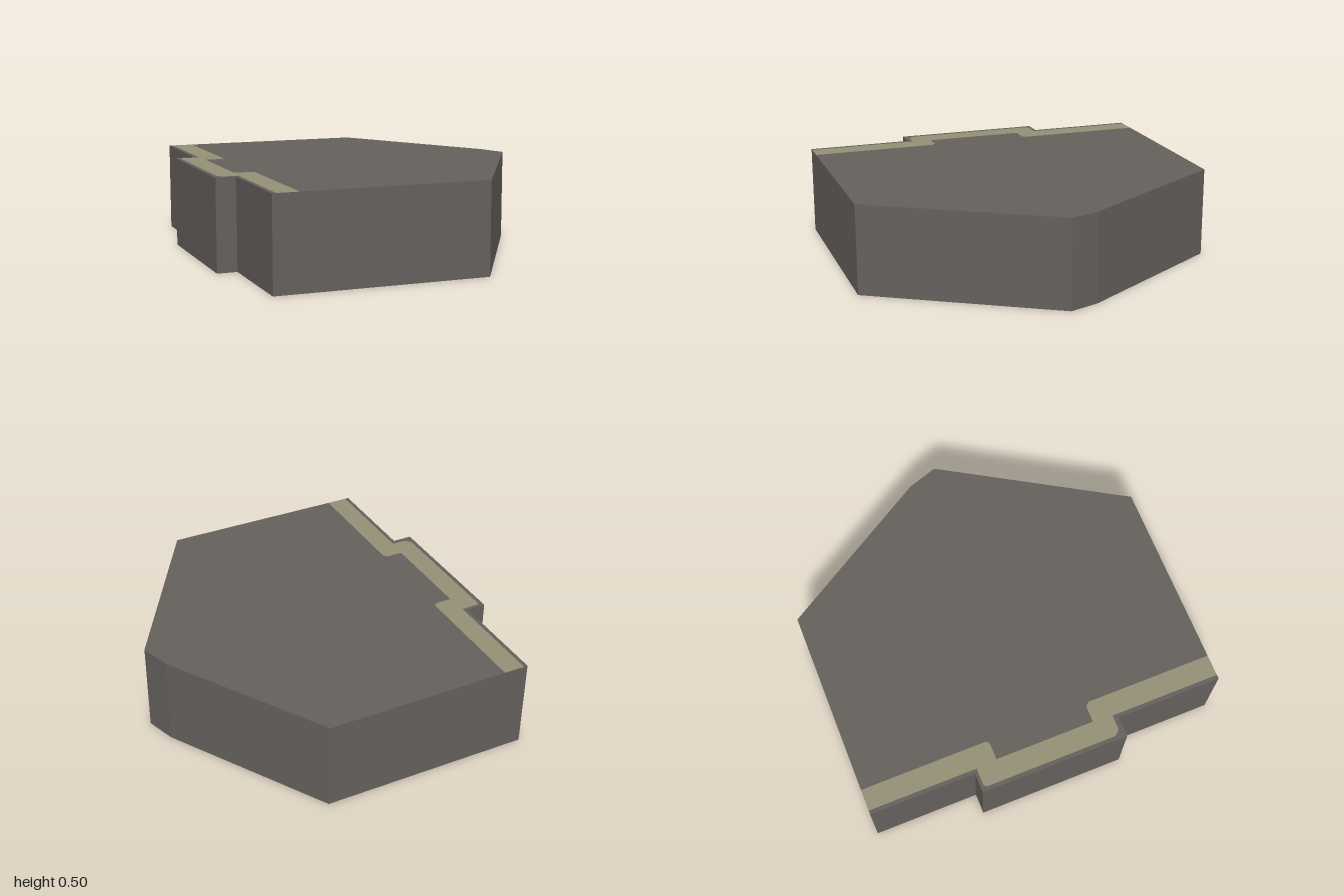
import * as THREE from 'three';

const HEIGHT = 0.5;

// Plan points are [x, z]
const outline = [
  [-0.82, -1], [0.345, -1], [0.87, -0.14], [0.926, 0.025], [0.345, 1],
  [-0.82, 1], [-0.82, 0.413], [-0.93, 0.413], [-0.93, -0.413], [-0.82, -0.413],
];
// Stripe edges, both running from back to front
const stripeOuter = [
  [-0.798, -1], [-0.798, -0.395], [-0.895, -0.395], [-0.907, -0.38],
  [-0.907, 0.355], [-0.88, 0.385], [-0.798, 0.385], [-0.798, 1],
];
const stripeInner = [
  [-0.68, -1], [-0.68, -0.295], [-0.7, -0.28], [-0.79, -0.28],
  [-0.79, 0.275], [-0.7, 0.275], [-0.68, 0.295], [-0.68, 1],
];

// Flat horizontal face at roof height
function roofFace(name, points, material) {
  const shape = new THREE.Shape(points.map(([x, z]) => new THREE.Vector2(x, -z)));
  const geometry = new THREE.ShapeGeometry(shape);
  geometry.rotateX(-Math.PI / 2);
  geometry.translate(0, HEIGHT, 0);
  const mesh = new THREE.Mesh(geometry, material);
  mesh.name = name;
  return mesh;
}

// Thin upright walls along the outline, open underneath
function wallGeometry(points) {
  const positions = [];
  points.forEach(([ax, az], i) => {
    const [bx, bz] = points[(i + 1) % points.length];
    positions.push(
      bx, 0, bz, ax, 0, az, ax, HEIGHT, az,
      bx, 0, bz, ax, HEIGHT, az, bx, HEIGHT, bz,
    );
  });
  const geometry = new THREE.BufferGeometry();
  geometry.setAttribute('position', new THREE.Float32BufferAttribute(positions, 3));
  geometry.computeVertexNormals();
  return geometry;
}

export function createModel() {
  const stone = new THREE.MeshStandardMaterial({ color: 0x65615d, side: THREE.DoubleSide });
  stone.name = 'grey stone';
  const tan = new THREE.MeshStandardMaterial({ color: 0x959076, side: THREE.DoubleSide });
  tan.name = 'tan stripe';

  const model = new THREE.Group();
  model.name = 'block';

  const walls = new THREE.Mesh(wallGeometry(outline), stone);
  walls.name = 'walls';

  // Roof split into main field, stripe and narrow outer border
  const main = [...outline.slice(1, 5), ...[...stripeInner].reverse()];
  const stripe = [...stripeOuter, ...[...stripeInner].reverse()];
  const border = [...outline.slice(5), outline[0], ...stripeOuter];

  model.add(
    walls,
    roofFace('roof', main, stone),
    roofFace('roofStripe', stripe, tan),
    roofFace('roofBorder', border, stone),
  );
  return model;
}
